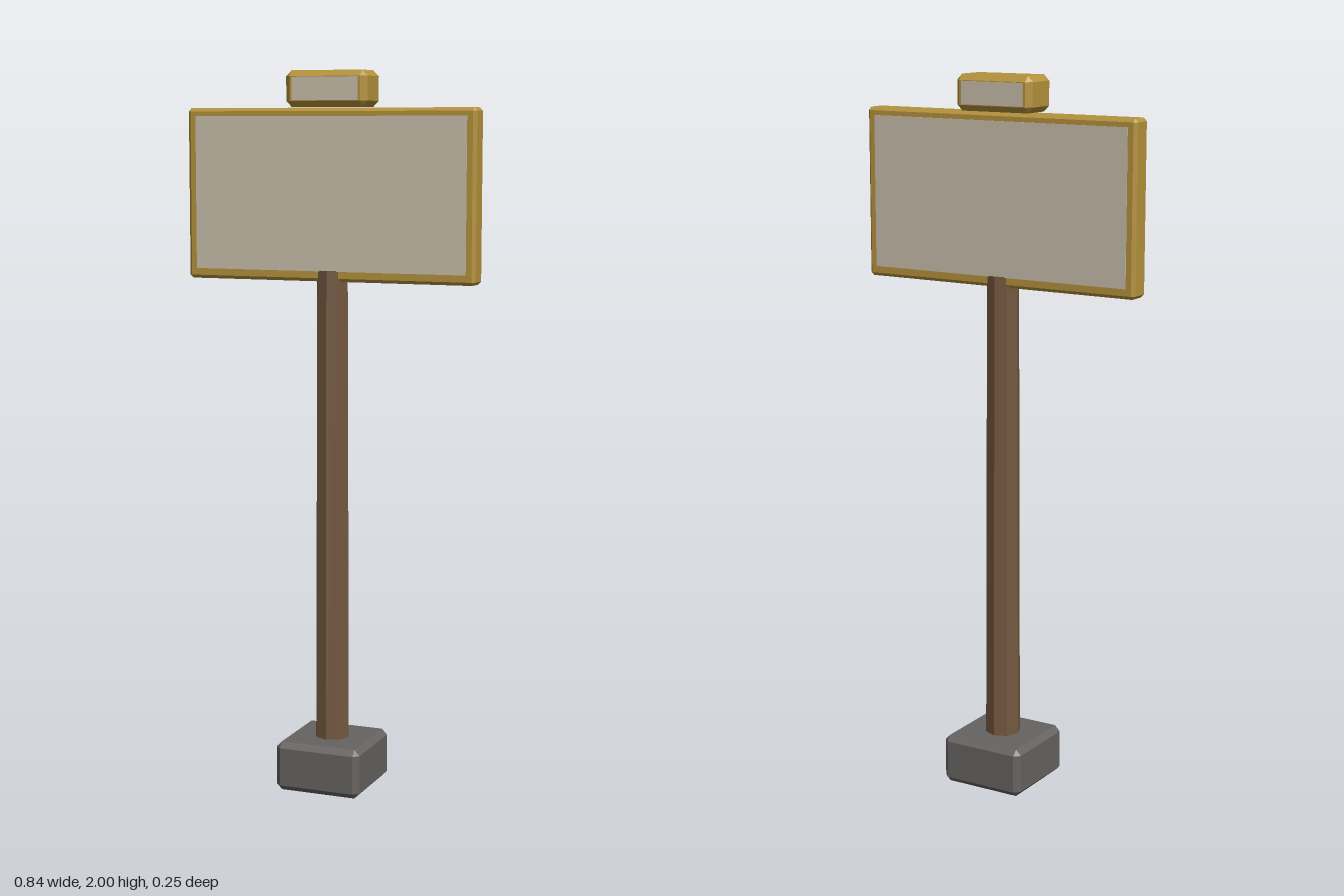
import * as THREE from 'three';
import { ConvexGeometry } from 'three/addons/geometries/ConvexGeometry.js';

const material = (name, color) => {
  const m = new THREE.MeshStandardMaterial({ color });
  m.name = name;
  return m;
};

// Box with every edge and corner cut by a flat bevel
function bevelBox(w, h, d, bevel) {
  const points = [];
  const half = [w / 2, h / 2, d / 2];
  for (const sx of [-1, 1]) for (const sy of [-1, 1]) for (const sz of [-1, 1]) {
    const signs = [sx, sy, sz];
    for (let full = 0; full < 3; full++) {
      points.push(new THREE.Vector3(
        ...half.map((v, i) => signs[i] * (i === full ? v : v - bevel))));
    }
  }
  return new ConvexGeometry(points);
}

export function createModel() {
  const model = new THREE.Group();
  model.name = 'signpost';

  const stone = material('dark stone', 0x666361);
  const wood = material('brown wood', 0x735840);
  const gold = material('gold', 0xb5923c);
  const cream = material('pale panel', 0xc9bfac);
  wood.flatShading = true;

  const add = (name, geometry, mat, y, z = 0) => {
    const mesh = new THREE.Mesh(geometry, mat);
    mesh.name = name;
    mesh.position.set(0, y, z);
    model.add(mesh);
  };

  // Footing and slightly tapered octagonal post
  add('base', bevelBox(0.25, 0.14, 0.25, 0.016), stone, 0.07);
  add('post', new THREE.CylinderGeometry(0.045, 0.05, 1.36, 8), wood, 0.78);

  // Board frame and the small cap block above it
  add('boardFrame', bevelBox(0.84, 0.47, 0.066, 0.009), gold, 1.665);
  add('capBlock', bevelBox(0.236, 0.098, 0.116, 0.016), gold, 1.951);

  // Thin pale faces on front and back
  for (const [side, s] of [['front', 1], ['back', -1]]) {
    add(side + 'BoardPanel', new THREE.BoxGeometry(0.79, 0.42, 0.006), cream, 1.668, s * 0.032);
    add(side + 'CapPanel', new THREE.BoxGeometry(0.19, 0.062, 0.006), cream, 1.951, s * 0.0565);
  }

  return model;
}
